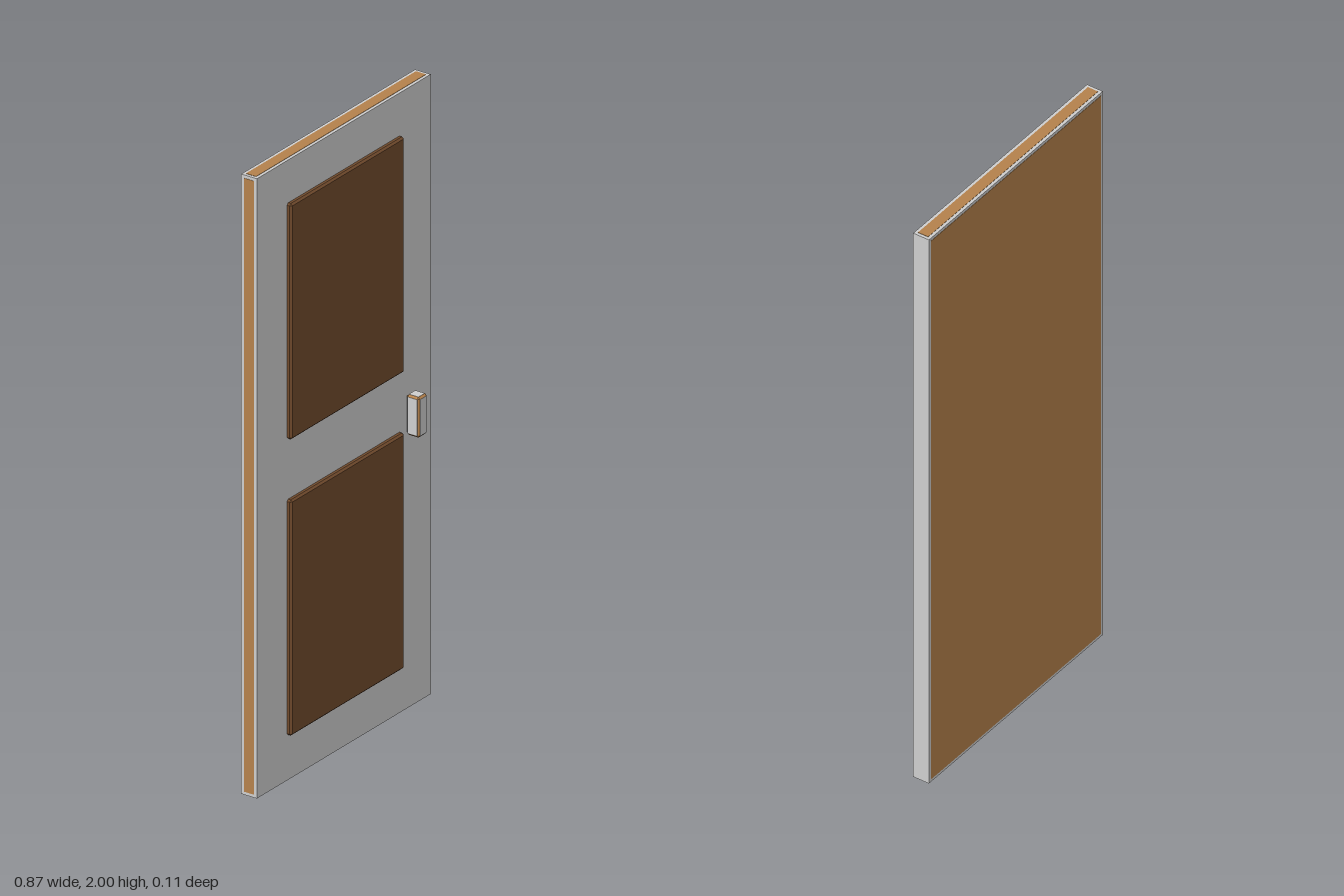
import * as THREE from 'three';
import { ConvexGeometry } from 'three/addons/geometries/ConvexGeometry.js';

const mat = (name, color) => {
  const m = new THREE.MeshStandardMaterial({ color });
  m.name = name;
  return m;
};

// Box with every edge cut at 45 degrees
function chamferBox(w, h, d, c) {
  const pts = [];
  for (const x of [-1, 1]) for (const y of [-1, 1]) for (const z of [-1, 1])
    for (let axis = 0; axis < 3; axis++) {
      const inset = [c, c, c];
      inset[axis] = 0;
      pts.push(new THREE.Vector3(
        x * (w / 2 - inset[0]), y * (h / 2 - inset[1]), z * (d / 2 - inset[2])));
    }
  return new ConvexGeometry(pts);
}

export function createModel() {
  const group = new THREE.Group();
  group.name = 'door';
  const grey = mat('light grey', 0xcfcfcf);
  const wood = mat('wood brown', 0xb5824c);
  const darkWood = mat('dark wood', 0x714b2d);

  const add = (name, geometry, material, x, y, z, parent = group) => {
    const mesh = new THREE.Mesh(geometry, material);
    mesh.name = name;
    mesh.position.set(x, y, z);
    parent.add(mesh);
    return mesh;
  };
  const box = (w, h, d) => new THREE.BoxGeometry(w, h, d);

  // Door slab
  const W = 0.872, H = 1.998, D = 0.056, zc = -0.028, border = 0.01, t = 0.002;
  add('slab', box(W, H, D), grey, 0, H / 2, zc);

  // Thin wooden faces on the back, top and one side, leaving a grey rim
  add('backFace', box(W - 2 * border, H - 2 * border, t), wood, 0, H / 2, -D);
  add('topFace', box(W - 2 * border, t, D - 2 * border), wood, 0, H, zc);
  add('sideFace', box(t, H - 2 * border, D - 2 * border), wood, -W / 2, H / 2, zc);

  // Two raised panels on the front
  for (const [name, y] of [['upperPanel', 1.48], ['lowerPanel', 0.525]])
    add(name, chamferBox(0.57, 0.76, 0.03, 0.006), darkWood, 0, y, 0);

  // Handle: wooden chamfered core with a grey plate on each face
  const handle = new THREE.Group();
  handle.name = 'handle';
  handle.position.set(0.323, 0.955, 0.031);
  group.add(handle);
  const size = [0.044, 0.13, 0.046], c = 0.006;
  add('handleCore', chamferBox(...size, c), wood, 0, 0, 0, handle);
  for (let axis = 0; axis < 3; axis++) {
    const plate = size.map((s, i) => (i === axis ? s + 0.001 : s - 2 * c));
    add('handlePlates', box(...plate), grey, 0, 0, 0, handle);
  }
  return group;
}
